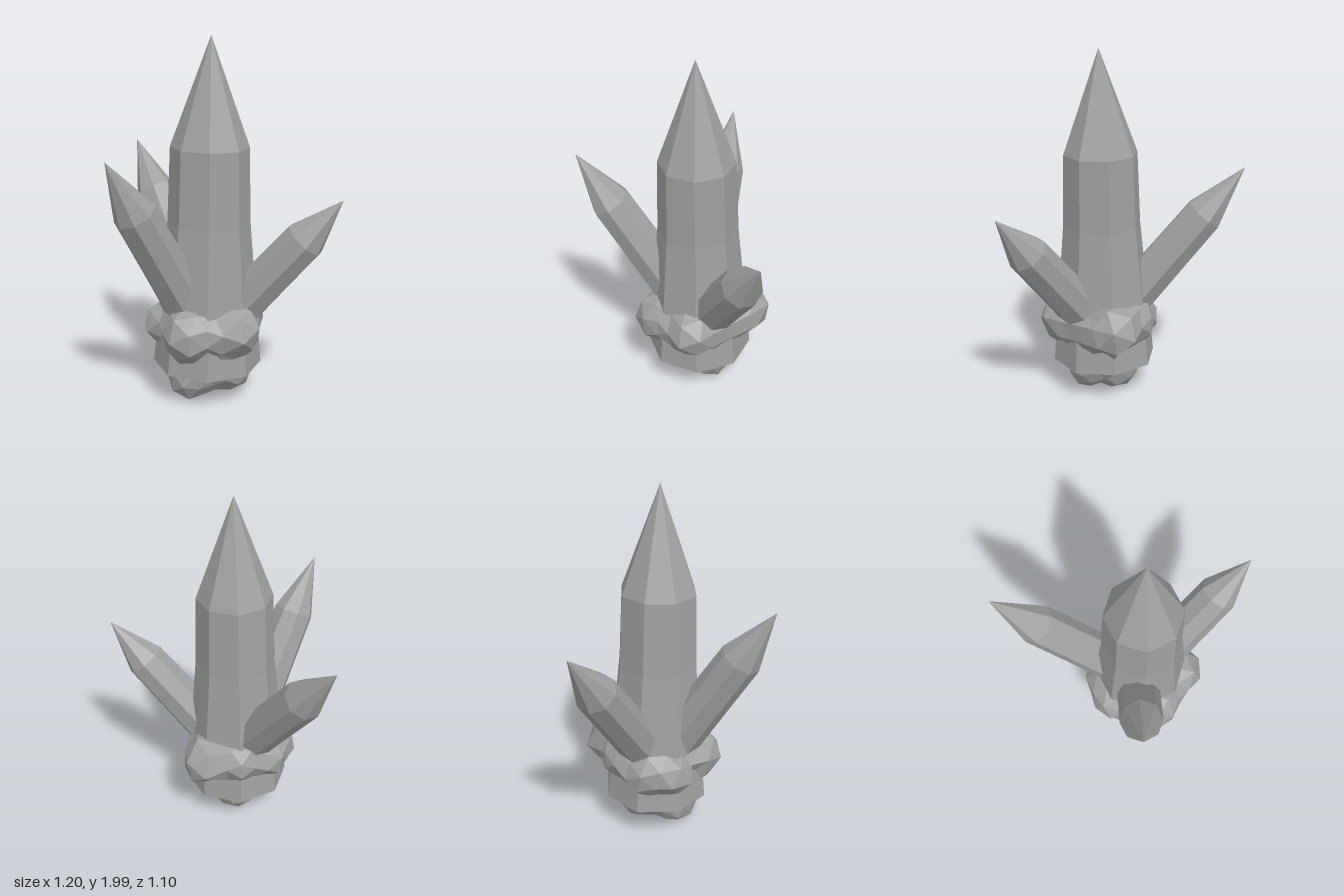
import * as THREE from 'three';

const stone = new THREE.MeshStandardMaterial({ color: 0xa0a0a0, flatShading: true });
stone.name = 'grey stone';

// Eight-sided pointed crystal from base to tip; profile is [radius, fraction of length]
function crystal(name, base, tip, profile) {
  const from = new THREE.Vector3(...base);
  const axis = new THREE.Vector3(...tip).sub(from);
  const length = axis.length();
  const points = [[0, 0], ...profile, [0, 1]].map(([r, t]) => new THREE.Vector2(r, t * length));
  const mesh = new THREE.Mesh(new THREE.LatheGeometry(points, 8), stone);
  mesh.name = name;
  mesh.position.copy(from);
  mesh.quaternion.setFromUnitVectors(new THREE.Vector3(0, 1, 0), axis.normalize());
  return mesh;
}

// Lumpy rock: a faceted ball pushed out to the surface of overlapping lobes
function rock() {
  const centre = new THREE.Vector3(-0.11, 0.3, 0.12);
  const lobes = [
    [-0.1, 0.27, 0.12, 0.235], // core
    [-0.2, 0.43, 0.31, 0.16], [0.03, 0.44, 0.29, 0.155], // front
    [0.05, 0.42, 0.08, 0.15], [-0.33, 0.42, 0.1, 0.135], // sides
    [0.07, 0.45, -0.07, 0.155], [-0.1, 0.45, -0.05, 0.155], [-0.26, 0.42, 0.0, 0.14], // back
    [-0.2, 0.14, 0.2, 0.135], [0.02, 0.16, 0.15, 0.12], [-0.1, 0.14, 0.03, 0.125], // underside
  ];
  const geo = new THREE.IcosahedronGeometry(1, 3);
  const pos = geo.attributes.position;
  const dir = new THREE.Vector3();
  const offset = new THREE.Vector3();
  for (let i = 0; i < pos.count; i++) {
    dir.fromBufferAttribute(pos, i).normalize();
    let reach = 0.18;
    for (const [x, y, z, r] of lobes) {
      offset.set(x, y, z).sub(centre);
      const along = offset.dot(dir);
      const h = r * r - offset.lengthSq() + along * along;
      if (h > 0) reach = Math.max(reach, along + Math.sqrt(h));
    }
    // gentle unevenness that depends only on direction
    reach *= 1 + 0.025 * Math.sin(dir.x * 13 + dir.y * 7) * Math.cos(dir.z * 11 - dir.y * 9);
    pos.setXYZ(i, centre.x + dir.x * reach, Math.max(0, centre.y + dir.y * reach), centre.z + dir.z * reach);
  }
  geo.computeVertexNormals();
  const mesh = new THREE.Mesh(geo, stone);
  mesh.name = 'baseRock';
  return mesh;
}

export function createModel() {
  const model = new THREE.Group();
  model.name = 'crystalCluster';
  model.add(rock());

  // Tall central crystal
  model.add(crystal('mainCrystal', [-0.11, 0.195, 0.12], [-0.08, 2, 0.135],
    [[0.3, 0], [0.225, 0.45], [0.212, 0.678]]));

  // Three smaller crystals leaning outward
  const side = [[0.13, 0], [0.12, 0.4], [0.115, 0.7]];
  model.add(crystal('frontRightCrystal', [-0.17, 0.45, 0.16], [-0.6, 1.42, 0.55], side));
  model.add(crystal('leftCrystal', [-0.03, 0.42, 0.14], [0.6, 1.17, 0.33], side));
  model.add(crystal('backRightCrystal', [-0.13, 0.42, 0.08], [-0.53, 1.34, -0.55], side));
  return model;
}
